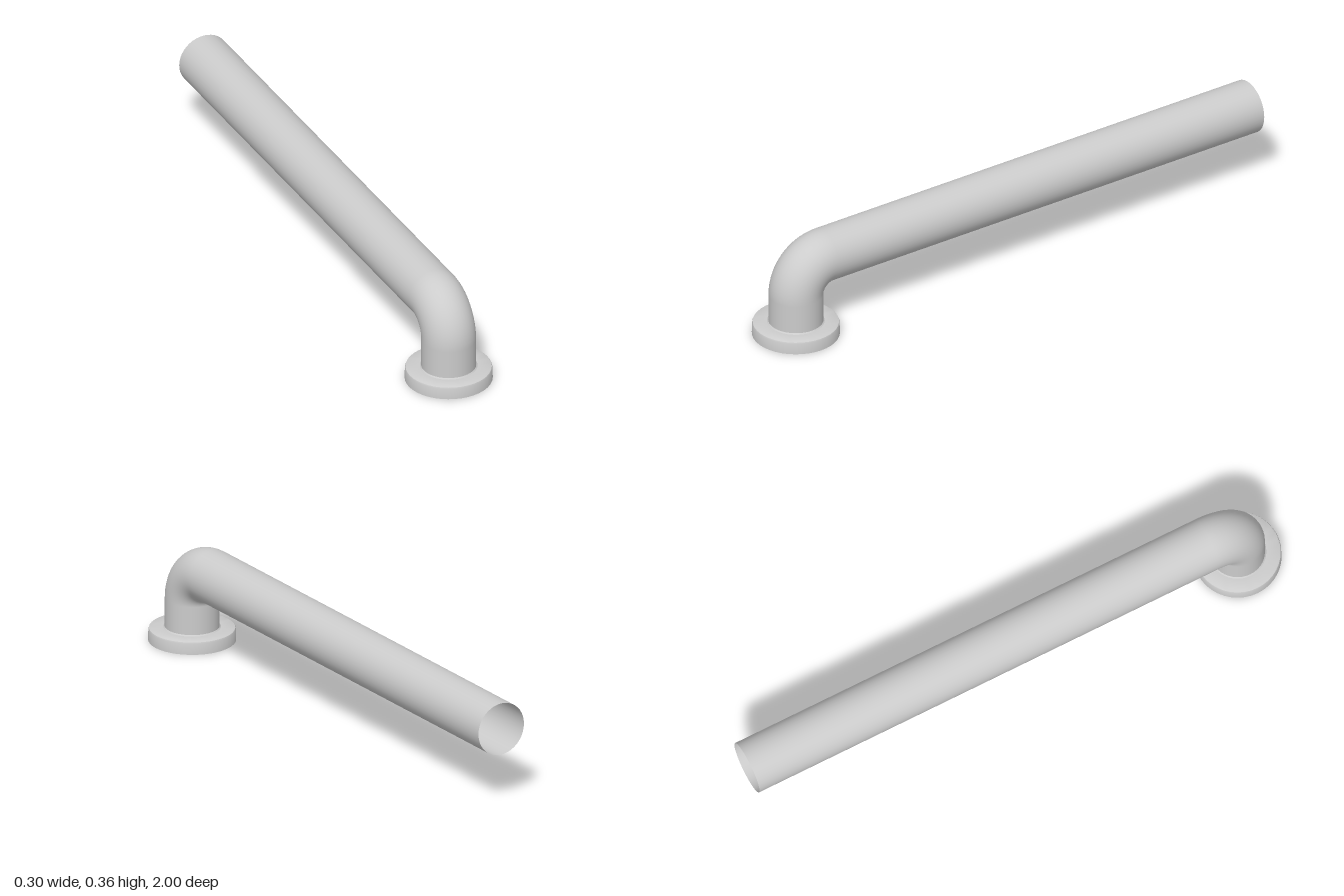
import * as THREE from 'three';
import { toCreasedNormals } from 'three/addons/utils/BufferGeometryUtils.js';

const SIDES = 40;
const PIPE_R = 0.092;   // pipe radius
const BEND_R = 0.115;   // centreline radius of the elbow
const POST_Z = 0.852;   // axis of the upright
const RAIL_Y = 0.264;   // axis of the long pipe

export function createModel() {
  const group = new THREE.Group();
  const material = new THREE.MeshStandardMaterial({ color: 0xcccccc, side: THREE.DoubleSide });
  const add = (name, geometry, x, y, z) => {
    const mesh = new THREE.Mesh(geometry, material);
    mesh.name = name;
    mesh.position.set(x, y, z);
    group.add(mesh);
    return mesh;
  };
  const pipe = (length) => new THREE.CylinderGeometry(PIPE_R, PIPE_R, length, SIDES, 1, true);

  // Mounting flange: a thin hollow cap, open below, with a small lip at the pipe
  const profile = [
    [0.148, 0], [0.147, 0.038], [0.145, 0.043], [0.14, 0.046],
    [0.097, 0.046], [0.093, 0.05],
  ].map(([r, y]) => new THREE.Vector2(r, y));
  add('flange', toCreasedNormals(new THREE.LatheGeometry(profile, SIDES), 0.6), 0, 0, POST_Z);

  // Short upright from the flange to the elbow
  const bendY = RAIL_Y - BEND_R;
  const bendZ = POST_Z - BEND_R;
  const foot = 0.044;
  add('upright', pipe(bendY - foot), 0, (bendY + foot) / 2, POST_Z);

  // Quarter-turn elbow
  const elbow = new THREE.TorusGeometry(BEND_R, PIPE_R, SIDES, 16, Math.PI / 2);
  elbow.rotateY(-Math.PI / 2);
  add('elbow', elbow, 0, bendY, bendZ);

  // Long horizontal pipe, open at the back end
  const rail = pipe(bendZ + 1);
  rail.rotateX(Math.PI / 2);
  add('longPipe', rail, 0, RAIL_Y, (bendZ - 1) / 2);

  return group;
}
